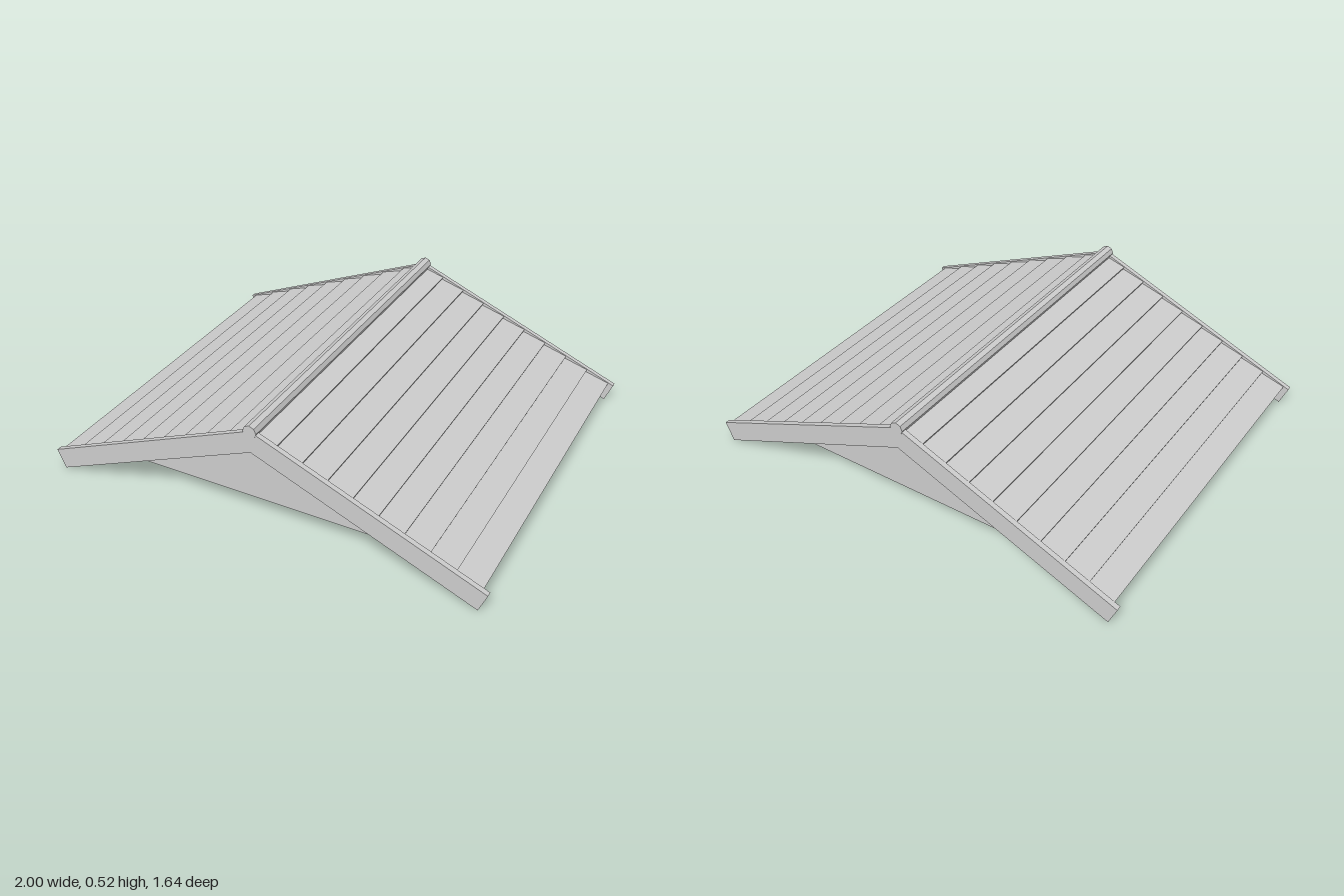
import * as THREE from 'three';

const PITCH = Math.PI / 8;      // roof slope
const RIDGE_Y = 0.5;            // height where the slopes meet
const HALF_DEPTH = 0.82;

// Point on the right slope: s runs down from the ridge, n rises out of the slope
const onSlope = (s, n) => [
  s * Math.cos(PITCH) + n * Math.sin(PITCH),
  RIDGE_Y - s * Math.sin(PITCH) + n * Math.cos(PITCH),
];
// Point straight below the ridge at depth n under the slope
const atRidge = (n) => [0, RIDGE_Y + n / Math.cos(PITCH)];

// Closed outline from the right half (ridge top to ridge underside), mirrored to the left
function mirroredShape(half) {
  const left = half.slice(1, -1).reverse().map(([x, y]) => [-x, y]);
  return new THREE.Shape([...half, ...left].map(([x, y]) => new THREE.Vector2(x, y)));
}

export function createModel() {
  const group = new THREE.Group();
  const grey = new THREE.MeshStandardMaterial({ color: 0xcccccc });
  grey.name = 'light grey';

  const addExtrusion = (name, shape, z0, z1) => {
    const geo = new THREE.ExtrudeGeometry(shape, { depth: z1 - z0, bevelEnabled: false });
    const mesh = new THREE.Mesh(geo, grey);
    mesh.position.z = z0;
    mesh.name = name;
    group.add(mesh);
  };

  // Roof slab with nine overlapping boards per slope
  const boards = 9, length = 1.056, step = length / boards;
  const high = -0.003, low = -0.015, under = -0.07;
  const roof = [atRidge(low)];
  for (let i = 1; i <= boards; i++) {
    roof.push(onSlope(i * step, high));
    if (i < boards) roof.push(onSlope(i * step, low));
  }
  roof.push(onSlope(length, under), atRidge(under));
  addExtrusion('roofBoards', mirroredShape(roof), -0.797, 0.797);

  // Chevron boards closing both ends of the roof
  const boardEnd = 1 / Math.cos(PITCH);
  const barge = mirroredShape([
    atRidge(0), onSlope(boardEnd, 0), onSlope(boardEnd, -0.092), atRidge(-0.092),
  ]);
  addExtrusion('frontBargeBoard', barge, 0.797, HALF_DEPTH);
  addExtrusion('backBargeBoard', barge, -HALF_DEPTH, -0.797);

  // Triangular gable walls set in from the ends
  const apex = atRidge(under)[1], base = 0.105;
  const half = (apex - base) / Math.tan(PITCH);
  const gable = mirroredShape([[0, apex], [half, base], [0, base]]);
  addExtrusion('frontGable', gable, 0.65, 0.73);
  addExtrusion('backGable', gable, -0.73, -0.65);

  // Eight-sided ridge pole
  const poleGeo = new THREE.CylinderGeometry(0.03, 0.03, HALF_DEPTH * 2 + 0.002, 8).toNonIndexed();
  poleGeo.computeVertexNormals();
  const pole = new THREE.Mesh(poleGeo, grey);
  pole.rotation.x = Math.PI / 2;
  pole.position.y = 0.495;
  pole.name = 'ridgePole';
  group.add(pole);

  return group;
}
